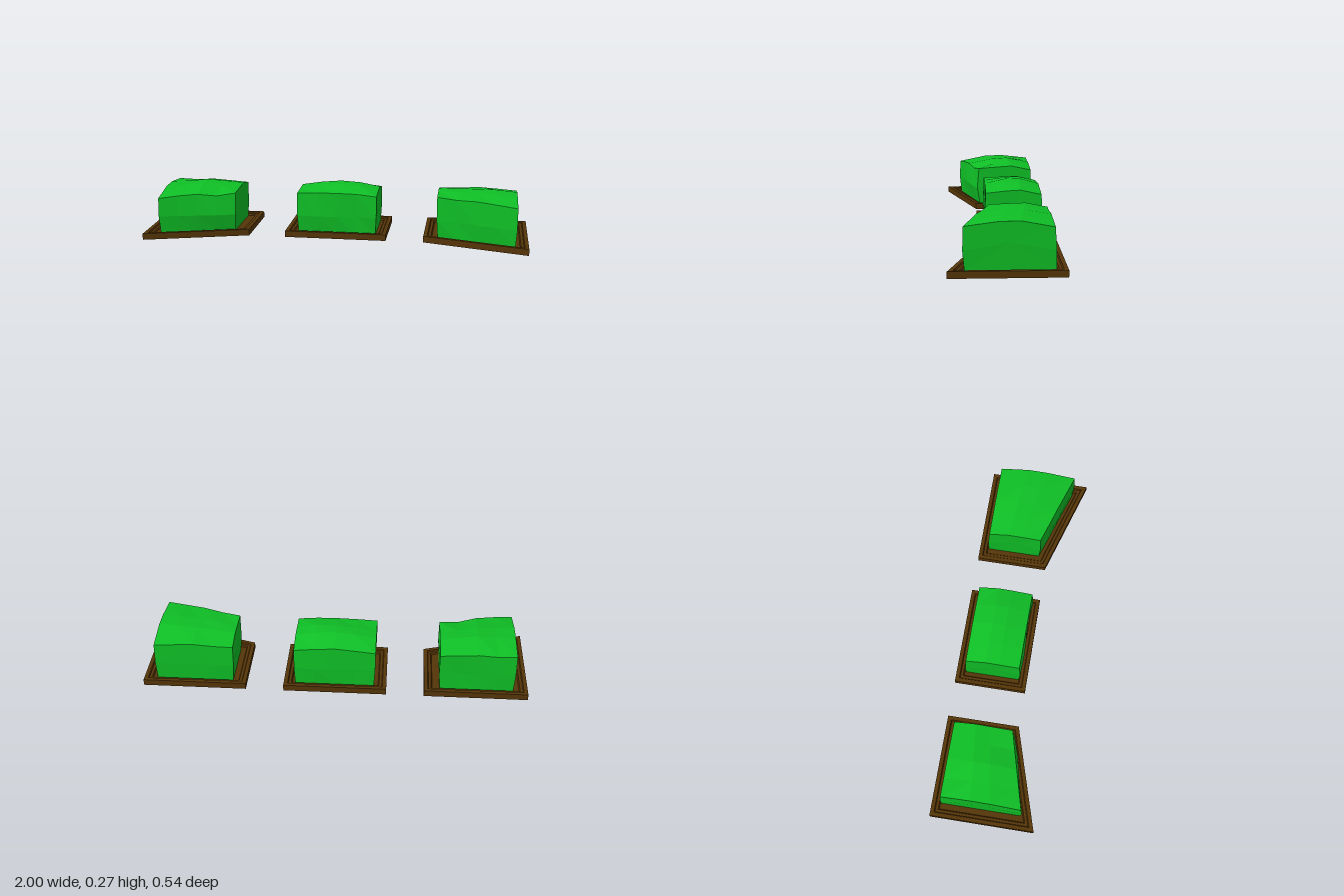
import * as THREE from 'three';

const green = new THREE.MeshStandardMaterial({ color: 0x0fbf26, flatShading: true });
const brown = new THREE.MeshStandardMaterial({ color: 0x553508, flatShading: true });

// Skins a row of equal-sized closed rings and caps both ends.
function loft(rings, material, name) {
  const pos = [];
  const tri = (...pts) => pts.forEach((p) => pos.push(...p));
  const n = rings[0].length;
  for (let k = 0; k < rings.length - 1; k++) {
    for (let i = 0; i < n; i++) {
      const j = (i + 1) % n;
      const a = rings[k][i], b = rings[k][j], c = rings[k + 1][j], d = rings[k + 1][i];
      tri(a, b, c);
      tri(a, c, d);
    }
  }
  const cap = (ring, flip) => {
    const mid = [0, 1, 2].map((ax) => ring.reduce((s, p) => s + p[ax], 0) / n);
    ring.forEach((p, i) => {
      const q = ring[(i + 1) % n];
      flip ? tri(mid, q, p) : tri(mid, p, q);
    });
  };
  cap(rings[0], true);
  cap(rings[rings.length - 1], false);
  const geometry = new THREE.BufferGeometry();
  geometry.setAttribute('position', new THREE.Float32BufferAttribute(pos, 3));
  geometry.computeVertexNormals();
  const mesh = new THREE.Mesh(geometry, material);
  mesh.name = name;
  return mesh;
}

// Stepped tray: nested outlines with a straight or slanted front edge.
function tray({ x0, x1, f0, f1 }) {
  const slope = (f1 - f0) / (x1 - x0);
  const steps = [[0, 0], [0, 0.033], [0.02, 0.033], [0.024, 0.026], [0.038, 0.026], [0.043, 0.018]];
  const rings = steps.map(([d, y]) => {
    const front = (x) => f0 + (x - x0) * slope - d * Math.hypot(1, slope);
    const l = x0 + d, r = x1 - d, back = -0.27 + d;
    return [[l, y, front(l)], [r, y, front(r)], [r, y, back], [l, y, back]];
  });
  return loft(rings, brown, 'planterTray');
}

// Faceted hedge: cross-sections along x, each running from back to front.
function hedge({ x0, x1, f0, f1, front, crest, back, bulge }) {
  const last = front.length - 1;
  const rings = front.map((yf, i) => {
    const t = i / last;
    const x = x0 + (x1 - x0) * t;
    const zf = f0 + (f1 - f0) * t;
    const zb = -0.218;
    const z = (s) => zb + (zf - zb) * s;
    const b = bulge[i];
    const inset = i === 0 ? 0.006 : i === last ? -0.006 : 0;
    return [
      [x + inset, 0.015, zb - 0.004],
      [x, 0.11, zb - 0.004 + b * 0.5],
      [x, back[i], zb + 0.004],
      [x, crest[i] - 0.004, z(0.38)],
      [x, crest[i] - 0.006 - b * 0.4, z(0.62)],
      [x, yf, zf - 0.002],
      [x, 0.11, zf + b],
      [x + inset, 0.015, zf - 0.008],
    ];
  });
  return loft(rings, green, 'hedge');
}

const planters = [
  {
    name: 'rightPlanter',
    base: { x0: -1, x1: -0.465, f0: 0.27, f1: 0.108 },
    bush: {
      x0: -0.932, x1: -0.54, f0: 0.195, f1: 0.09,
      front: [0.207, 0.218, 0.224, 0.212, 0.225],
      crest: [0.246, 0.25, 0.261, 0.252, 0.243],
      back: [0.225, 0.222, 0.228, 0.222, 0.215],
      bulge: [0.002, 0.004, 0.01, 0.014, 0.008],
    },
  },
  {
    name: 'middlePlanter',
    base: { x0: -0.27, x1: 0.265, f0: 0.11, f1: 0.11 },
    bush: {
      x0: -0.21, x1: 0.212, f0: 0.072, f1: 0.075,
      front: [0.232, 0.236, 0.238, 0.236, 0.226],
      crest: [0.243, 0.26, 0.27, 0.264, 0.245],
      back: [0.215, 0.226, 0.235, 0.228, 0.217],
      bulge: [0.002, 0.006, 0.002, -0.006, 0.004],
    },
  },
  {
    name: 'leftPlanter',
    base: { x0: 0.462, x1: 1, f0: 0.108, f1: 0.27 },
    bush: {
      x0: 0.528, x1: 0.94, f0: 0.07, f1: 0.2,
      front: [0.234, 0.23, 0.234, 0.228, 0.222],
      crest: [0.245, 0.25, 0.254, 0.255, 0.249],
      back: [0.22, 0.222, 0.23, 0.224, 0.216],
      bulge: [0, -0.004, 0.004, 0.002, 0.001],
    },
  },
];

export function createModel() {
  const model = new THREE.Group();
  model.name = 'hedgePlanters';
  for (const { name, base, bush } of planters) {
    const planter = new THREE.Group();
    planter.name = name;
    planter.add(tray(base), hedge(bush));
    model.add(planter);
  }
  return model;
}
